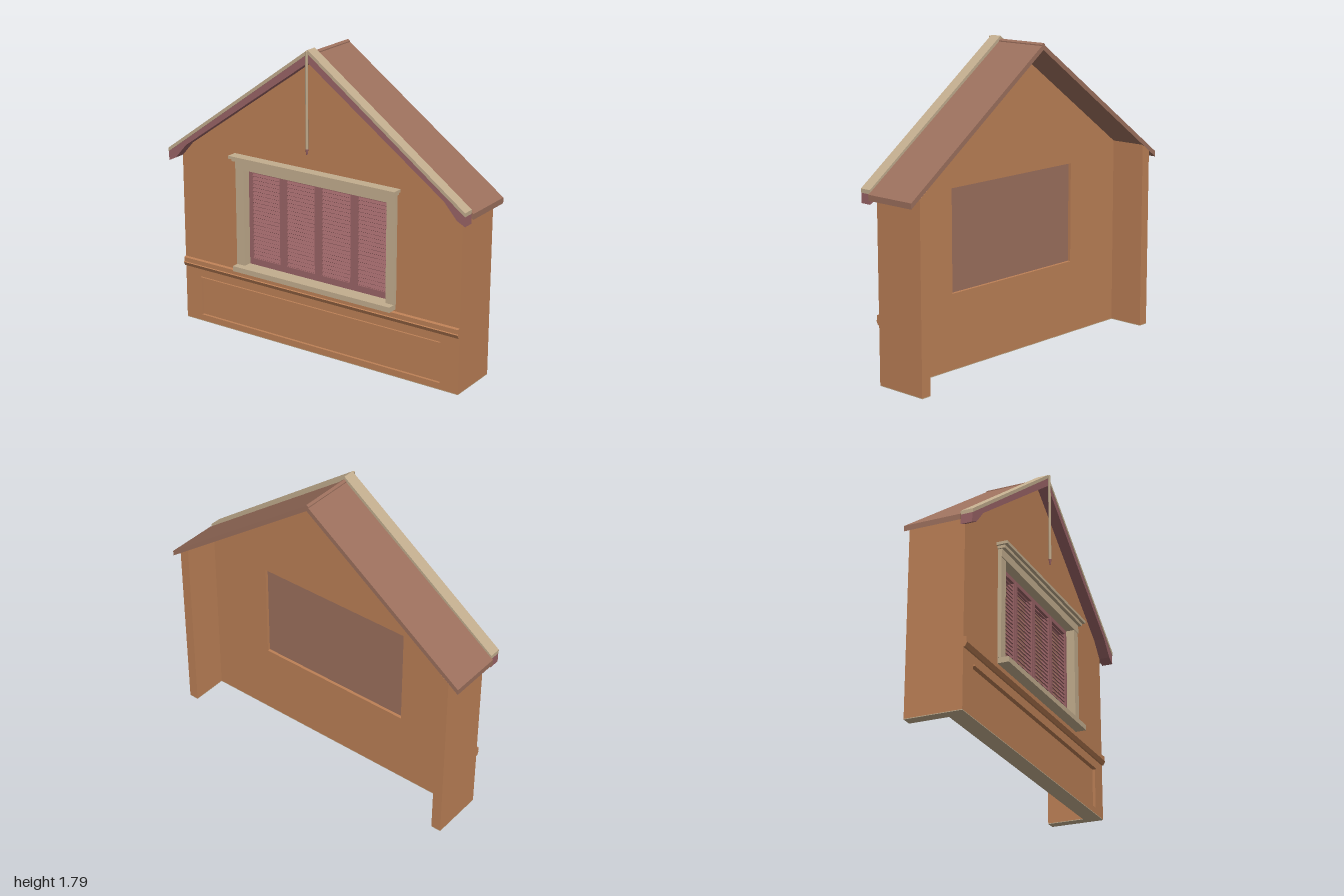
import * as THREE from 'three';

const material = (name, color, side = THREE.FrontSide) => {
  const m = new THREE.MeshStandardMaterial({ color, side });
  m.name = name;
  return m;
};

export function createModel() {
  const model = new THREE.Group();
  model.name = 'gableFacade';
  const wallMat = material('terracotta wall', 0xbc8056);
  const trimMat = material('beige trim', 0xc2ad8e);
  const roofMat = material('brown roof', 0x9c705d);
  const shutterMat = material('dusty red wood', 0x9a6466);

  const add = (name, geometry, mat, parent = model) => {
    const mesh = new THREE.Mesh(geometry, mat);
    mesh.name = name;
    parent.add(mesh);
    return mesh;
  };
  // Box given by its limits on each axis
  const box = (name, mat, x0, x1, y0, y1, z0, z1, parent = model) => {
    const g = new THREE.BoxGeometry(x1 - x0, y1 - y0, z1 - z0);
    g.translate((x0 + x1) / 2, (y0 + y1) / 2, (z0 + z1) / 2);
    return add(name, g, mat, parent);
  };
  const polygon = pts => new THREE.Shape(pts.map(p => new THREE.Vector2(...p)));
  const rectHole = (x0, x1, y0, y1) =>
    new THREE.Path([[x0, y0], [x0, y1], [x1, y1], [x1, y0]].map(p => new THREE.Vector2(...p)));
  // Outline in x and y, extruded from z0 to z1
  const slab = (name, mat, pts, z0, z1, holes = []) => {
    const shape = polygon(pts);
    shape.holes.push(...holes);
    const g = new THREE.ExtrudeGeometry(shape, { depth: z1 - z0, bevelEnabled: false });
    g.translate(0, 0, z0);
    return add(name, g, mat);
  };
  // Inverted V that follows the roof slope
  const chevron = (name, mat, peak, slope, half, thick, z0, z1) => {
    const eave = peak - slope * half;
    return slab(name, mat, [
      [-half, eave - thick], [0, peak - thick], [half, eave - thick],
      [half, eave], [0, peak], [-half, eave],
    ], z0, z1);
  };

  // Gable wall in two layers: window opening through both, sunken panel in front
  const W = 0.94, base = 0.004;
  const wallTop = x => 1.737 - 0.72 * Math.abs(x);
  const gable = [[-W, base], [W, base], [W, wallTop(W)], [0, wallTop(0)], [-W, wallTop(W)]];
  const opening = () => rectHole(-0.49, 0.49, 0.435, 1.02);
  slab('wallBack', wallMat, gable, 0.02, 0.104, [opening()]);
  slab('wallFront', wallMat, gable, 0.104, 0.12, [opening(), rectHole(-0.825, 0.825, 0.04, 0.28)]);
  box('panelLip', wallMat, -0.825, 0.825, 0.274, 0.284, 0.105, 0.131);
  box('wallFoot', trimMat, -W, W, 0, base, 0.02, 0.12);

  // Short side walls running back
  for (const s of [-1, 1]) {
    const pts = [[s * 0.88, base], [s * W, base], [s * W, wallTop(W)], [s * 0.88, wallTop(0.88)]];
    slab('sideWall', wallMat, pts, -0.2, 0.02);
    box('sideWallFoot', trimMat, s > 0 ? 0.88 : -W, s > 0 ? W : -0.88, 0, base, -0.2, 0.02);
  }

  // Moulded belt course across the front, section in z and y
  const belt = new THREE.ExtrudeGeometry(polygon([
    [0.12, 0.335], [0.13, 0.335], [0.142, 0.358], [0.137, 0.362], [0.137, 0.388], [0.12, 0.392],
  ]), { depth: 2 * W, bevelEnabled: false });
  belt.rotateY(-Math.PI / 2);
  belt.scale(1, 1, 1);
  belt.translate(W, 0, 0);
  add('beltCourse', belt, wallMat);

  // Roof, ridge cap and verge
  chevron('roof', roofMat, 1.77, 0.72, 1, 0.032, -0.2, 0.12);
  chevron('ridgeCap', roofMat, 1.776, 0.72, 0.013, 0.012, -0.2, 0.12);
  chevron('vergeTrim', trimMat, 1.792, 0.727, 0.99, 0.022, 0.118, 0.187);

  // Barge boards with a flared foot
  for (const s of [-1, 1]) {
    slab('bargeBoard', shutterMat, [
      [0, 1.72], [s * 0.86, 1.11], [s * 0.94, 1.02], [s * 0.99, 0.995],
      [s * 0.99, 1.05], [0, 1.77],
    ], 0.118, 0.184);
  }

  // Hanging finial pole at the peak
  const pole = new THREE.CylinderGeometry(0.008, 0.008, 0.545, 8);
  pole.translate(0, 1.513, 0.195);
  add('finialPole', pole, trimMat);
  const tip = new THREE.CylinderGeometry(0.009, 0.004, 0.032, 8);
  tip.translate(0, 1.226, 0.195);
  add('finialTip', tip, shutterMat);

  // Window surround
  const frame = new THREE.Group();
  frame.name = 'windowSurround';
  model.add(frame);
  for (const s of [-1, 1]) {
    box('jamb', trimMat, s > 0 ? 0.482 : -0.538, s > 0 ? 0.538 : -0.482, 0.435, 1.02, 0.075, 0.141, frame);
  }
  box('lintel', trimMat, -0.538, 0.538, 1.018, 1.066, 0.075, 0.145, frame);
  box('lowerCornice', trimMat, -0.545, 0.545, 1.066, 1.083, 0.1, 0.165, frame);
  box('upperCornice', trimMat, -0.556, 0.556, 1.083, 1.1, 0.1, 0.183, frame);
  box('sill', trimMat, -0.536, 0.536, 0.405, 0.436, 0.075, 0.184, frame);
  box('windowBacking', roofMat, -0.49, 0.49, 0.435, 1.02, 0.038, 0.05, frame);

  // Four louvred shutters
  const y0 = 0.436, y1 = 1.018, width = 0.241, stile = 0.021, slats = 23;
  const slatGeo = new THREE.BoxGeometry(width - 2 * stile, 0.024, 0.006);
  slatGeo.rotateX(-0.6);
  for (let i = 0; i < 4; i++) {
    const shutter = new THREE.Group();
    shutter.name = 'shutter';
    shutter.position.x = (i - 1.5) * width;
    model.add(shutter);
    const h = width / 2 - 0.002;
    box('leftStile', shutterMat, h - stile, h, y0, y1, 0.05, 0.092, shutter);
    box('rightStile', shutterMat, -h, -h + stile, y0, y1, 0.05, 0.092, shutter);
    box('bottomRail', shutterMat, -h + stile, h - stile, y0, 0.474, 0.05, 0.092, shutter);
    box('topRail', shutterMat, -h + stile, h - stile, 0.992, y1, 0.05, 0.092, shutter);
    for (let k = 0; k < slats; k++) {
      const slat = add('slat', slatGeo, shutterMat, shutter);
      slat.position.set(0, 0.474 + (k + 0.5) * (0.518 / slats), 0.077);
    }
  }
  return model;
}
